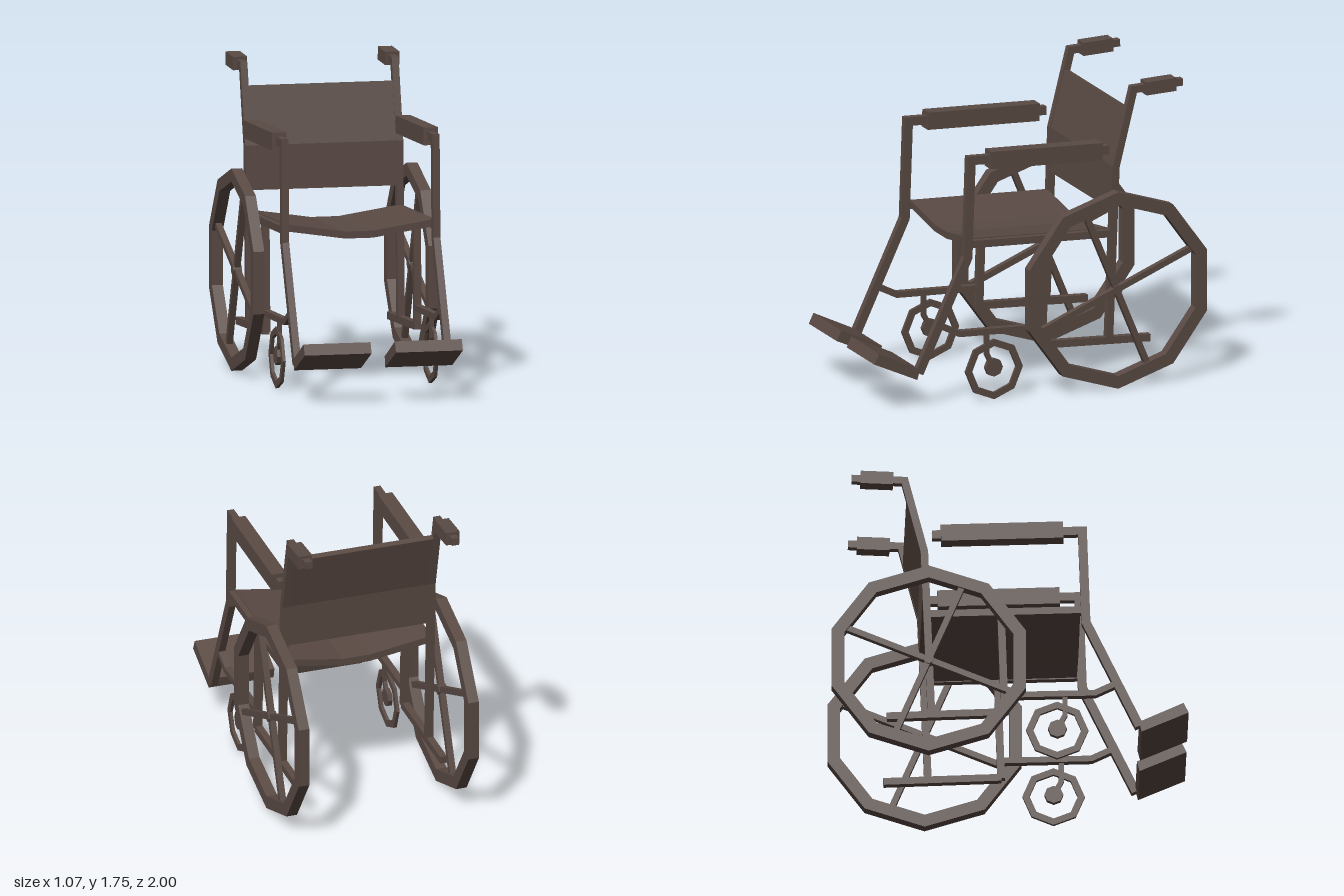
import * as THREE from 'three';

const brown = new THREE.MeshStandardMaterial({ color: 0x5a4a44 });
brown.name = 'dark brown';

// Solid from a side outline of [z, y] points, spanning x0..x1, with optional hole outline
function plate(name, outline, x0, x1, hole) {
  const toVec = ([z, y]) => new THREE.Vector2(-z, y);
  const shape = new THREE.Shape(outline.map(toVec));
  if (hole) shape.holes.push(new THREE.Path(hole.map(toVec)));
  const geo = new THREE.ExtrudeGeometry(shape, { depth: x1 - x0, bevelEnabled: false });
  geo.rotateY(Math.PI / 2).translate(x0, 0, 0);
  const mesh = new THREE.Mesh(geo, brown);
  mesh.name = name;
  return mesh;
}

// Outline of a bar of given width along a path, with mitred corners
function barOutline(path, width) {
  const pts = path.map(([z, y]) => new THREE.Vector2(z, y));
  const left = [], right = [];
  pts.forEach((p, i) => {
    const a = pts[Math.max(i - 1, 0)], b = pts[Math.min(i + 1, pts.length - 1)];
    const d1 = (i > 0 ? p.clone().sub(a) : b.clone().sub(p)).normalize();
    const d2 = (i < pts.length - 1 ? b.clone().sub(p) : d1.clone()).normalize();
    const n = new THREE.Vector2(-d1.y - d2.y, d1.x + d2.x).normalize();
    const k = width / 2 / (n.x * -d1.y + n.y * d1.x);
    left.push([p.x + n.x * k, p.y + n.y * k]);
    right.unshift([p.x - n.x * k, p.y - n.y * k]);
  });
  return [...left, ...right];
}

// Regular polygon with a corner at the top, counter-clockwise once z is flipped by plate()
function polygon(z, y, r, sides) {
  return Array.from({ length: sides }, (_, i) => {
    const a = Math.PI / 2 + (i / sides) * Math.PI * 2;
    return [z - r * Math.cos(a), y + r * Math.sin(a)];
  });
}

function buildSide(side) {
  const group = new THREE.Group();
  group.name = side > 0 ? 'leftSide' : 'rightSide';
  const add = (name, outline, a, b, hole) => group.add(
    plate(name, outline, side > 0 ? a : -b, side > 0 ? b : -a, hole));
  const bar = (name, path, width = 0.042, a = 0.415, b = 0.455) =>
    add(name, barOutline(path, width), a, b);

  // Frame tubes
  bar('frontTube', [[-0.437, 1.375], [0.405, 1.408], [0.425, 0.845], [0.724, 0.205]], 0.05);
  bar('backTube', [[-0.888, 1.718], [-0.59, 1.708], [-0.48, 1.27], [-0.44, 0.265]]);
  bar('seatRail', [[0.41, 0.92], [-0.46, 0.885]]);
  bar('lowerTube', [[0.59, 0.465], [0.475, 0.407], [-0.035, 0.388]], 0.035);
  bar('middlePost', [[-0.05, 0.89], [-0.03, 0.28]]);
  bar('bottomTube', [[-0.03, 0.285], [-0.69, 0.252]]);

  // Padded armrest, push grip and footplate
  bar('armrestPad', [[0.297, 1.403], [-0.387, 1.376]], 0.1, 0.394, 0.478);
  bar('pushGrip', [[-0.655, 1.71], [-0.838, 1.716]], 0.076, 0.397, 0.478);
  add('footplate', [[0.972, 0.35], [1, 0.29], [0.737, 0.17], [0.722, 0.23]], 0.07, 0.455);

  // Large wheel with crossed spokes
  const z = -0.457, y = 0.574;
  add('wheelRim', polygon(z, y, 0.572, 10), 0.472, 0.535, polygon(z, y, 0.498, 10));
  for (const deg of [-22.5, 67.5]) {
    const a = THREE.MathUtils.degToRad(deg);
    const c = Math.cos(a) * 0.49, s = Math.sin(a) * 0.49;
    bar('wheelSpoke', [[z - c, y - s], [z + c, y + s]], 0.034, 0.487, 0.522);
  }
  add('wheelHub', polygon(z, y, 0.03, 8), 0.48, 0.53);

  // Caster with its fork
  add('casterRim', polygon(0.264, 0.177, 0.175, 8), 0.432, 0.45, polygon(0.264, 0.177, 0.135, 8));
  add('casterHub', polygon(0.265, 0.187, 0.053, 8), 0.425, 0.452);
  bar('casterFork', [[0.307, 0.39], [0.307, 0.27], [0.265, 0.19]], 0.028, 0.427, 0.448);
  return group;
}

// Sagging seat: front cross-section extruded backwards, sloping down to the rear
function buildSeat() {
  const top = [[-0.42, 0.947], [-0.08, 0.895], [0.08, 0.895], [0.42, 0.947]];
  const under = top.map(([x, y]) => [x, y - 0.04]).reverse();
  const shape = new THREE.Shape([...under, ...top].map(([x, y]) => new THREE.Vector2(x, y)));
  const geo = new THREE.ExtrudeGeometry(shape, { depth: 0.843, bevelEnabled: false });
  geo.translate(0, 0, -0.45);
  const p = geo.attributes.position;
  for (let i = 0; i < p.count; i++) p.setY(i, p.getY(i) - (0.4 - p.getZ(i)) * 0.043);
  geo.computeVertexNormals();
  const seat = new THREE.Mesh(geo, brown);
  seat.name = 'seat';
  return seat;
}

export function createModel() {
  const model = new THREE.Group();
  model.name = 'wheelchair';
  model.add(buildSide(1), buildSide(-1), buildSeat());
  // Backrest follows the bend of the back tubes
  model.add(plate('backrest',
    barOutline([[-0.564, 1.596], [-0.481, 1.27], [-0.471, 1.02]], 0.036), -0.416, 0.416));
  return model;
}
